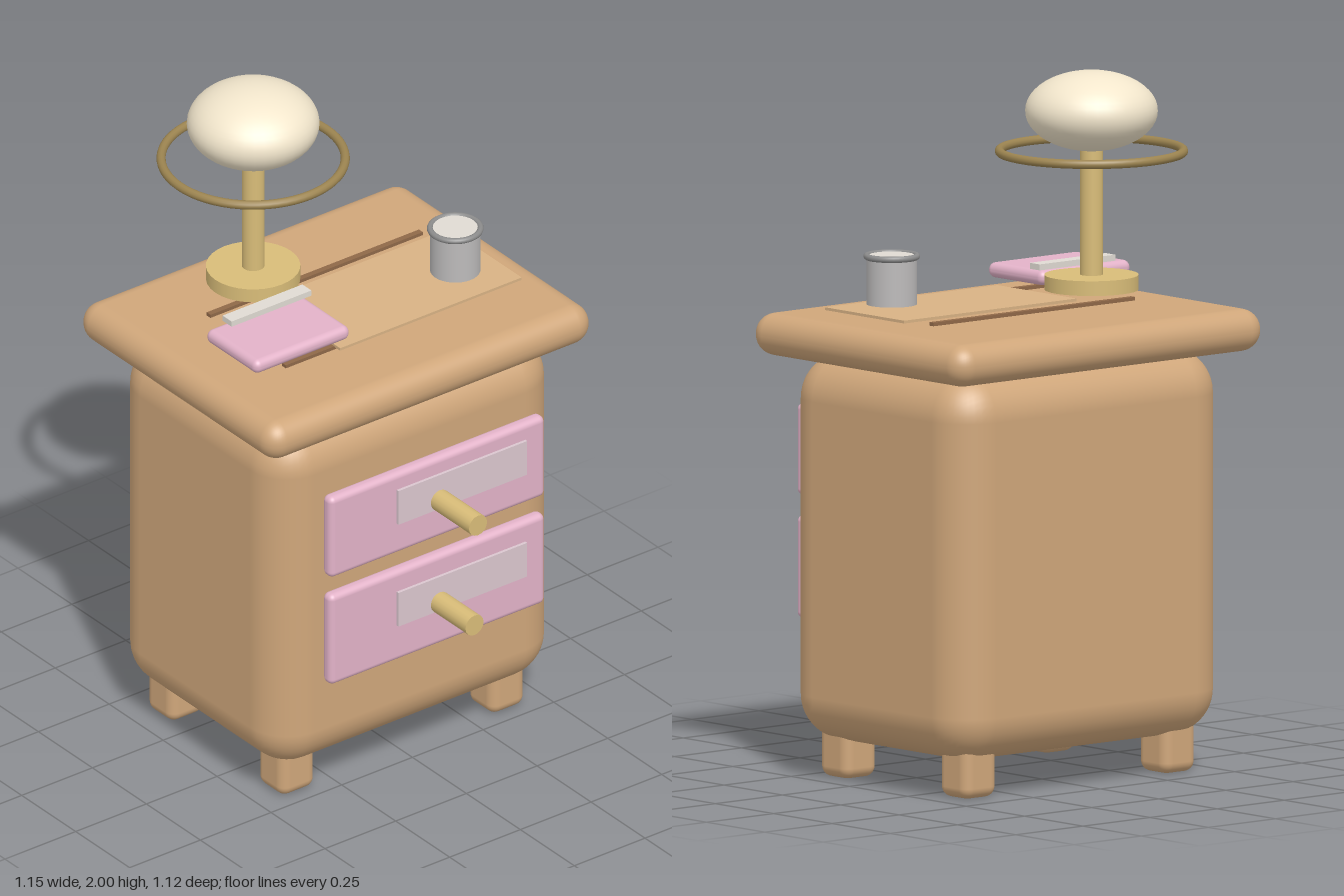
import * as THREE from 'three';
import { RoundedBoxGeometry } from 'three/addons/geometries/RoundedBoxGeometry.js';

const paint = (color) => new THREE.MeshStandardMaterial({ color });

export function createModel() {
  const model = new THREE.Group();
  const wood = paint(0xcfa67a);
  const pink = paint(0xe2b2c8);
  const brass = paint(0xd8bc78);
  const darkBrass = paint(0x9c8450);
  const cream = paint(0xf2e6cc);
  const label = paint(0xdac6ce);
  const paper = paint(0xd8b284);
  const pencilWood = paint(0x8f6848);
  const steel = paint(0xbcbaba);
  const darkSteel = paint(0x8c8c8c);
  const pale = paint(0xdfdad2);

  const add = (name, geometry, material, x, y, z) => {
    const mesh = new THREE.Mesh(geometry, material);
    mesh.name = name;
    mesh.position.set(x, y, z);
    model.add(mesh);
    return mesh;
  };
  // Box given by its low and high corners; r > 0 rounds the edges
  const box = (name, material, [x0, y0, z0], [x1, y1, z1], r = 0) => {
    const size = [x1 - x0, y1 - y0, z1 - z0];
    const geometry = r ? new RoundedBoxGeometry(...size, 5, r) : new THREE.BoxGeometry(...size);
    return add(name, geometry, material, (x0 + x1) / 2, (y0 + y1) / 2, (z0 + z1) / 2);
  };

  // Cabinet
  box('body', wood, [-0.503, 0.105, -0.485], [0.503, 1.205, 0.287], 0.13);
  box('tabletop', wood, [-0.575, 1.195, -0.56], [0.575, 1.315, 0.352], 0.059);
  for (const x of [-0.371, 0.371]) {
    for (const z of [0.153, -0.36]) {
      box('leg', wood, [x - 0.061, 0, z - 0.061], [x + 0.061, 0.2, z + 0.061], 0.03);
    }
  }

  // Drawers, each with a label plate and a long round knob
  const drawers = [
    { y0: 0.775, y1: 1.037, plate: 0.931, knob: 0.905, tip: 0.558 },
    { y0: 0.425, y1: 0.718, plate: 0.598, knob: 0.571, tip: 0.542 },
  ];
  for (const d of drawers) {
    box('drawerFront', pink, [-0.382, d.y0, 0.33], [0.379, d.y1, 0.372], 0.018);
    box('drawerLabel', label, [-0.149, d.plate - 0.055, 0.355], [0.306, d.plate + 0.055, 0.381]);
    const start = 0.25;
    const length = d.tip - start;
    const knob = add('drawerKnob', new THREE.CylinderGeometry(0.032, 0.032, length, 16), brass,
      -0.003, d.knob, start + length / 2);
    knob.rotation.x = Math.PI / 2;
  }

  // Pencils and the mat lying over them
  for (const z of [-0.249, 0.1]) {
    box('pencil', pencilWood, [-0.34, 1.328, z - 0.009], [0.411, 1.338, z + 0.009]);
  }
  box('mat', paper, [-0.168, 1.336, -0.204], [0.474, 1.344, 0.135]);

  // Notebook with its strip
  box('notebook', pink, [-0.475, 1.368, -0.09], [-0.138, 1.411, 0.148], 0.02);
  box('notebookStrip', pale, [-0.411, 1.415, -0.091], [-0.129, 1.432, -0.049]);

  // Mug
  add('mug', new THREE.CylinderGeometry(0.071, 0.071, 0.138, 32), steel, 0.34, 1.424, 0.003);
  add('mugFill', new THREE.CylinderGeometry(0.066, 0.066, 0.004, 32), pale, 0.34, 1.493, 0.003);
  const rim = add('mugRim', new THREE.TorusGeometry(0.071, 0.009, 10, 40), darkSteel, 0.34, 1.491, 0.003);
  rim.rotation.x = Math.PI / 2;

  // Lamp
  const [lx, lz] = [-0.164, -0.273];
  add('lampBase', new THREE.CylinderGeometry(0.133, 0.133, 0.042, 32), brass, lx, 1.4, lz);
  add('lampPole', new THREE.CylinderGeometry(0.032, 0.032, 0.42, 20), brass, lx, 1.6, lz);
  const ring = add('lampRing', new THREE.TorusGeometry(0.259, 0.013, 12, 64), darkBrass, lx, 1.772, lz);
  ring.rotation.x = Math.PI / 2;
  const shade = add('lampShade', new THREE.SphereGeometry(0.187, 40, 24), cream, lx, 1.887, lz);
  shade.scale.y = 0.113 / 0.187;

  return model;
}
